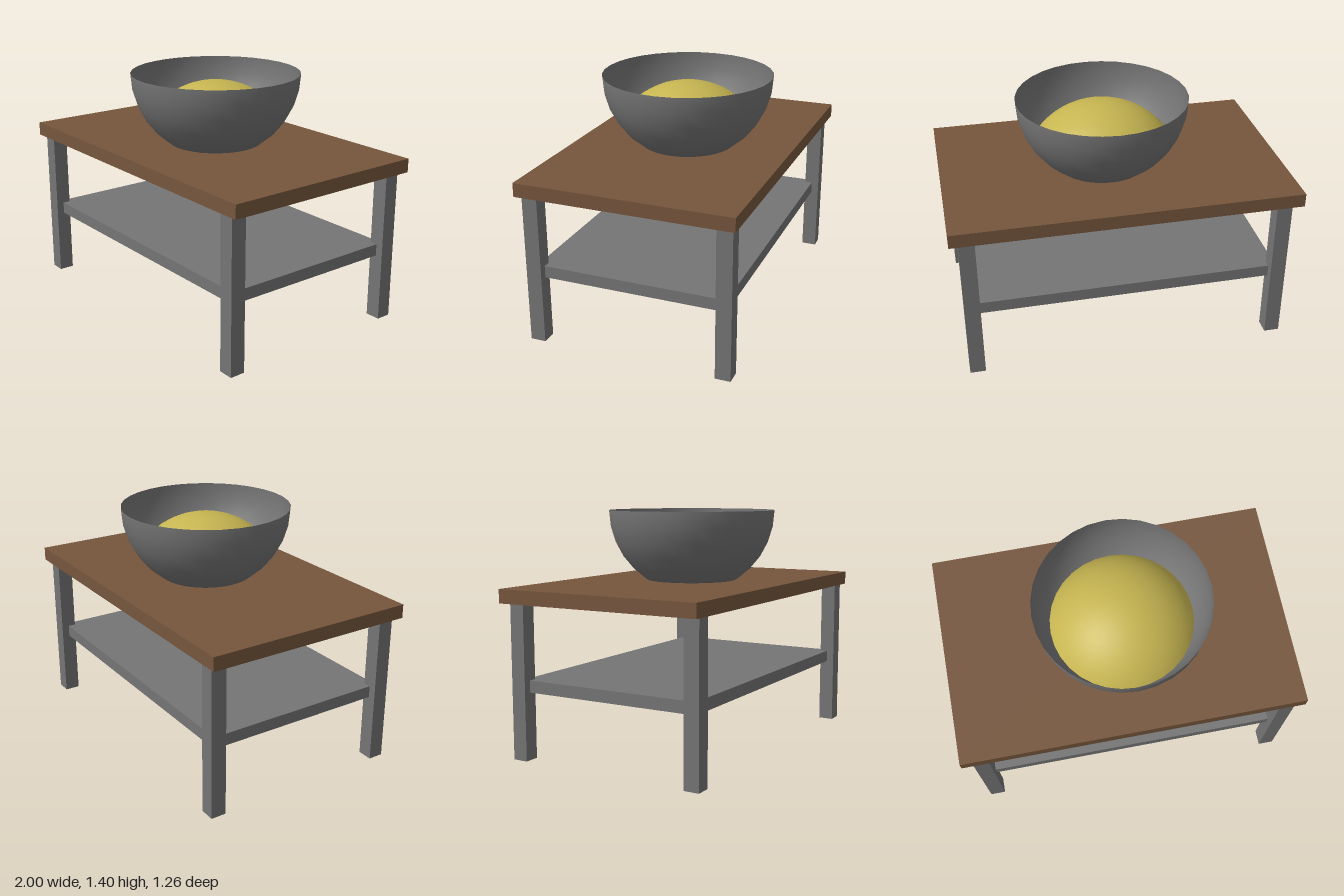
import * as THREE from 'three';

export function createModel() {
  const model = new THREE.Group();
  const wood = new THREE.MeshStandardMaterial({ name: 'wood', color: 0x76563d });
  const metal = new THREE.MeshStandardMaterial({ name: 'greyMetal', color: 0x757575 });
  const bowlGrey = new THREE.MeshStandardMaterial({ name: 'bowlGrey', color: 0x757575, side: THREE.DoubleSide });
  const yellow = new THREE.MeshStandardMaterial({ name: 'yellow', color: 0xc6b551, side: THREE.DoubleSide });

  function add(name, geometry, material, x, y, z) {
    const mesh = new THREE.Mesh(geometry, material);
    mesh.name = name;
    mesh.position.set(x, y, z);
    model.add(mesh);
  }

  // Table: top, four legs, and a shelf reaching the leg centres
  const cx = 0.005, cz = 0.005, legX = 0.9, legZ = 0.56;
  add('tableTop', new THREE.BoxGeometry(2, 0.08, 1.256), wood, 0, 0.94, 0);
  for (const sx of [-1, 1]) {
    for (const sz of [-1, 1]) {
      const name = (sz > 0 ? 'front' : 'back') + (sx > 0 ? 'Left' : 'Right') + 'Leg';
      add(name, new THREE.BoxGeometry(0.09, 0.9, 0.09), metal, cx + sx * legX, 0.45, cz + sz * legZ);
    }
  }
  add('shelf', new THREE.BoxGeometry(legX * 2, 0.07, legZ * 2), metal, cx, 0.425, cz);

  // Thin hemispherical bowl, its base sunk into the table top
  const bowlX = 0.04;
  add('bowl', new THREE.SphereGeometry(0.5, 32, 8, 0, Math.PI * 2, Math.PI / 2, Math.PI / 2),
    bowlGrey, bowlX, 1.4, 0);

  // Domed contents, meeting the inside of the bowl
  const domeRadius = 0.49;
  const domeAngle = Math.asin(0.413 / domeRadius);
  add('bowlContents', new THREE.SphereGeometry(domeRadius, 32, 8, 0, Math.PI * 2, 0, domeAngle),
    yellow, bowlX, 1.12 - domeRadius * Math.cos(domeAngle), 0);

  return model;
}
